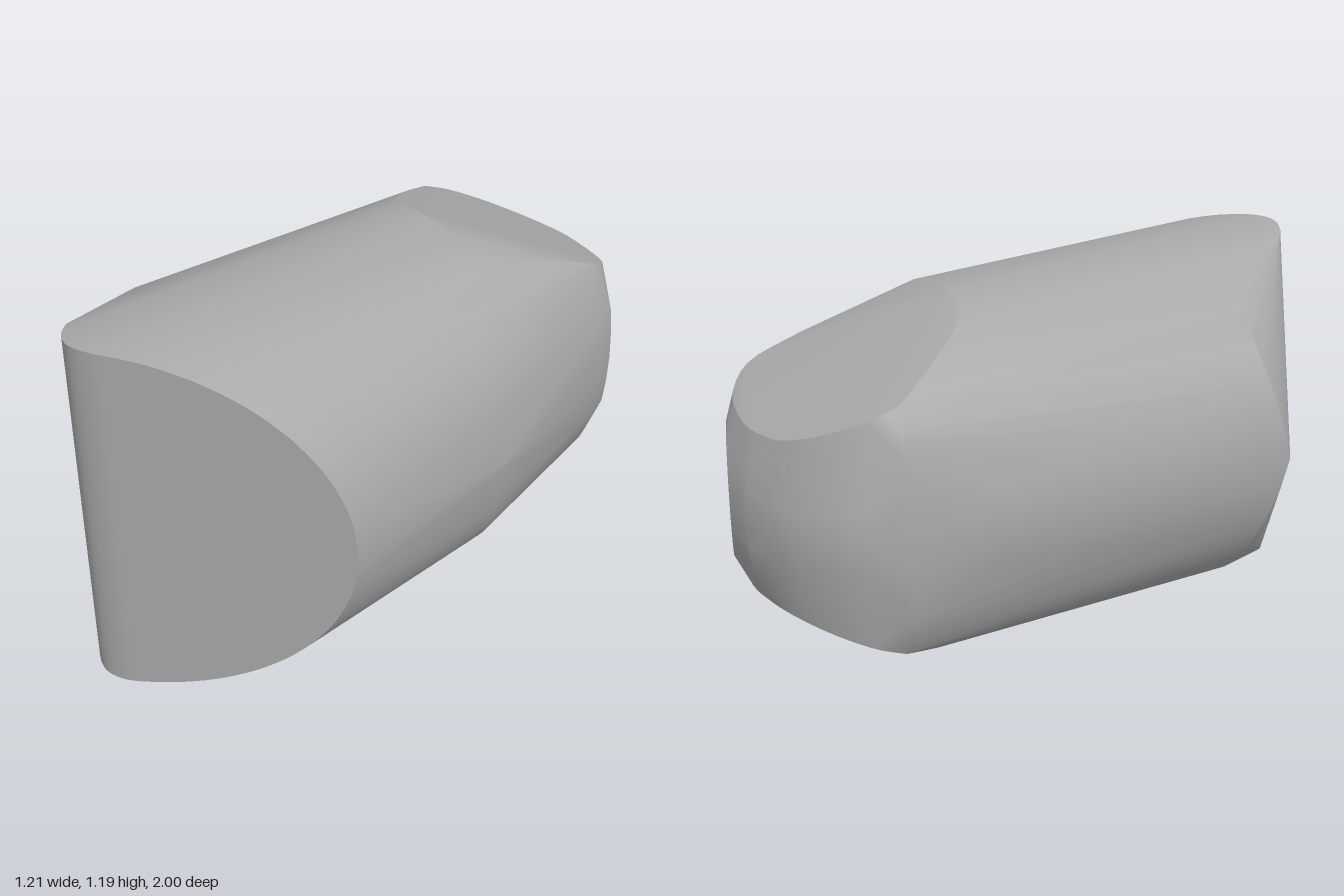
import * as THREE from 'three';
import { ConvexGeometry } from 'three/addons/geometries/ConvexGeometry.js';
import { toCreasedNormals } from 'three/addons/utils/BufferGeometryUtils.js';

const MID = 0.595; // height of the horizontal symmetry plane

export function createModel() {
  const group = new THREE.Group();
  const grey = new THREE.MeshStandardMaterial({ color: 0xa8a8a8 });
  grey.name = 'plain grey';

  const points = [];
  // Add a point and its mirror image below the middle plane
  const add = (x, h, z) => {
    points.push(new THREE.Vector3(x, MID + h, z));
    if (h > 0.001) points.push(new THREE.Vector3(x, MID - h, z));
  };
  // Smooth edge curve through [x, height above middle, z]
  const edge = (list, n = 24) => {
    const curve = new THREE.CatmullRomCurve3(list.map((p) => new THREE.Vector3(...p)));
    curve.getPoints(n).forEach((p) => add(p.x, Math.max(0, p.y), p.z));
  };
  // Part of an elliptical section on the -x side
  const sideArc = (z, w, h, maxAngle) => {
    for (let i = 0; i <= 12; i++) {
      const a = (maxAngle * i) / 12;
      add(-w * Math.cos(a), h * Math.sin(a), z);
    }
  };

  // Rounded vertical ridge at the front
  const nose = new THREE.CatmullRomCurve3(
    [[-0.18, 0.92], [-0.14, 0.96], [-0.09, 0.99], [-0.045, 1], [0, 0.99], [0.04, 0.97], [0.08, 0.94]]
      .map(([x, z]) => new THREE.Vector3(x, 0, z)));
  nose.getPoints(18).forEach((p) => add(p.x, 0.595 * Math.sqrt(1 - (p.x / 0.605) ** 2), p.z));

  // Front rim on the +x side, lying on one flat wedge plane
  for (let i = 0; i <= 28; i++) {
    const a = (i / 28) * 1.437;
    const x = 0.603 * Math.cos(a);
    add(x, 0.595 * Math.sin(a), 0.94 - ((x - 0.08) * 0.41) / 0.523);
  }

  // Front rim on the -x side, swept back above and below its corner
  for (let i = 0; i <= 16; i++) {
    const a = (i / 16) * 0.84;
    add(-0.607 * Math.cos(a), 0.595 * Math.sin(a), 0.55 + 0.07 * (1 - i / 16) ** 2);
  }

  // Shoulder where the barrel meets the tapered rear
  edge([[0.56, 0, -0.1], [0.5, 0.26, -0.115], [0.4, 0.405, -0.15], [0.3, 0.475, -0.2],
    [0.2, 0.525, -0.25], [0, 0.555, -0.285], [-0.1, 0.55, -0.295], [-0.2, 0.525, -0.335],
    [-0.3, 0.47, -0.46], [-0.41, 0.385, -0.66]], 36);

  // Barrel sections on the -x side
  sideArc(0.2, 0.583, 0.575, 1.0);
  sideArc(-0.1, 0.56, 0.56, 1.0);
  sideArc(-0.4, 0.53, 0.54, 0.9);
  edge([[-0.485, 0, -0.68], [-0.475, 0.15, -0.68], [-0.45, 0.29, -0.67], [-0.41, 0.385, -0.66]], 12);

  // Back edge of the sloping upper and lower faces
  edge([[0.28, 0.4, -0.6], [0.295, 0.33, -0.78], [0.2, 0.28, -0.88], [0, 0.262, -0.94],
    [-0.1, 0.262, -0.94], [-0.2, 0.27, -0.92], [-0.31, 0.305, -0.85], [-0.39, 0.35, -0.75],
    [-0.41, 0.385, -0.66]], 30);

  // Rounded rear outline, with fuller rows towards the middle plane
  for (const [h, s, dz] of [[0, 1, 0], [0.09, 0.99, 0.006], [0.18, 0.96, 0.025]]) {
    edge([[-0.1, h, -1 + dz], [-0.25, h, -0.95 + dz], [-0.35, h, -0.885 + dz],
      [-0.42, h, -0.81 + dz], [-0.482, h, -0.69 + dz]].map(([x, y, z]) => [x * s, y, z]), 14);
    add(0.365 * s, h, -0.79);
    add(0.4 * s, h, -0.7);
  }

  // Small flat oval on the rear corner
  for (let i = 0; i <= 12; i++) {
    const a = (i / 12) * Math.PI;
    const x = 0.15 + 0.15 * Math.cos(a);
    add(x, 0.21 * Math.sin(a), -1 + x * 0.467);
  }

  const body = new THREE.Mesh(toCreasedNormals(new ConvexGeometry(points), 0.3), grey);
  body.name = 'body';
  group.add(body);
  return group;
}
